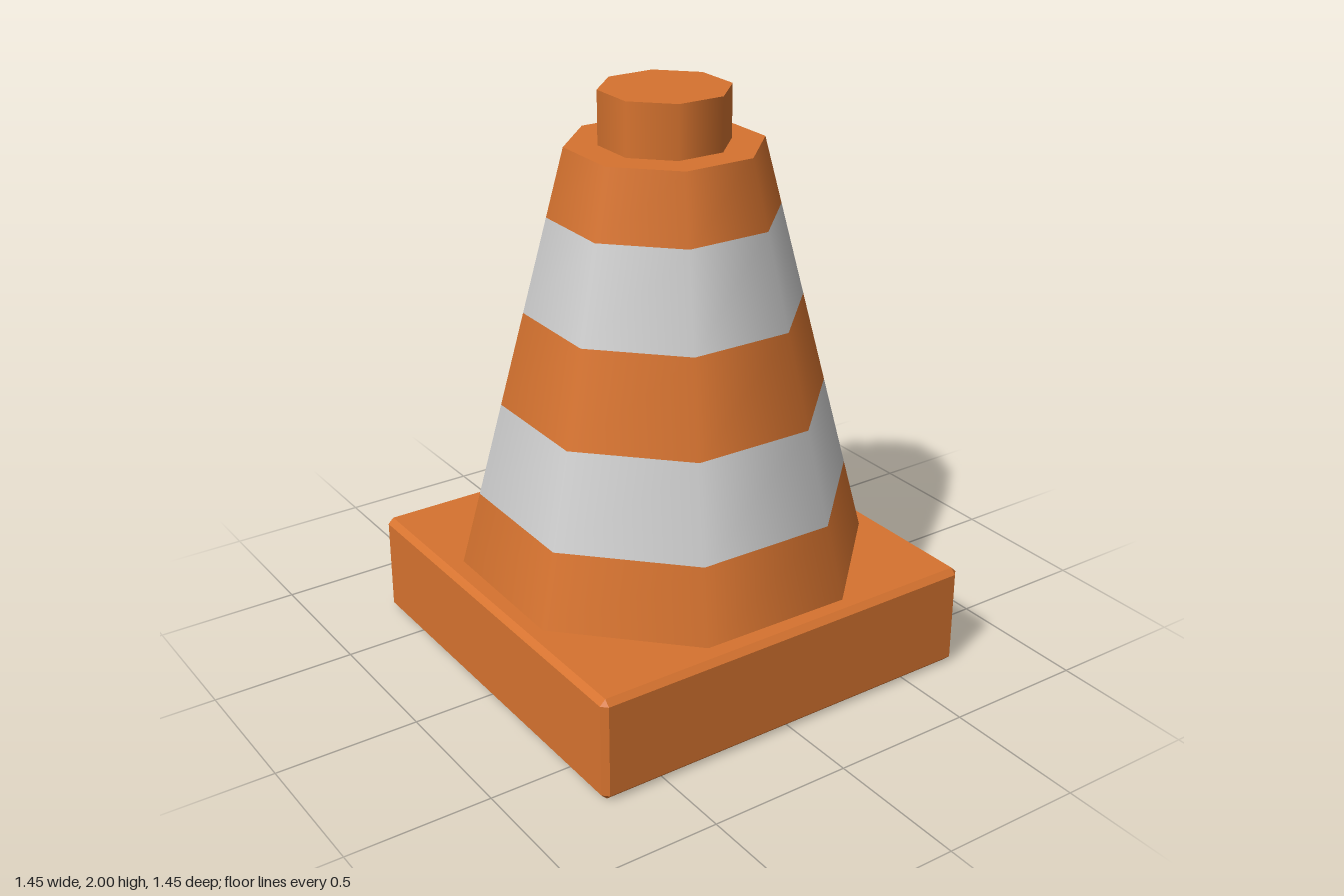
import * as THREE from 'three';

const SIDES = 8;
const TURN = THREE.MathUtils.degToRad(21.6);

// Square slab with chamfered edges and a recess underneath, lofted from square rings
function baseGeometry() {
  const flat = 0.705;
  // [half width, height], from the recess ceiling outwards and up to the top face
  const rings = [[0, 0.19], [0.58, 0.19], [0.58, 0], [flat, 0], [0.725, 0.02], [0.725, 0.345], [flat, 0.365], [0, 0.365]];
  const ringPoints = ([h, y]) => {
    const k = Math.min(h, flat);
    return [[h, -k], [h, k], [k, h], [-k, h], [-h, k], [-h, -k], [-k, -h], [k, -h]]
      .map(([x, z]) => new THREE.Vector3(x, y, z));
  };
  const positions = [];
  const addTriangle = (a, b, c) => {
    if (new THREE.Triangle(a, b, c).getArea() < 1e-8) return;
    for (const p of [a, b, c]) positions.push(p.x, p.y, p.z);
  };
  for (let r = 0; r < rings.length - 1; r++) {
    const low = ringPoints(rings[r]);
    const high = ringPoints(rings[r + 1]);
    for (let i = 0; i < 8; i++) {
      const j = (i + 1) % 8;
      addTriangle(low[i], high[i], high[j]);
      addTriangle(low[i], high[j], low[j]);
    }
  }
  const geometry = new THREE.BufferGeometry();
  geometry.setAttribute('position', new THREE.Float32BufferAttribute(positions, 3));
  geometry.computeVertexNormals();
  return geometry;
}

export function createModel() {
  const orange = new THREE.MeshStandardMaterial({ color: 0xd6732f });
  orange.name = 'orange';
  const white = new THREE.MeshStandardMaterial({ color: 0xcfcfcf });
  white.name = 'reflective white';

  const model = new THREE.Group();
  model.name = 'trafficCone';
  const add = (name, geometry, material) => {
    const mesh = new THREE.Mesh(geometry, material);
    mesh.name = name;
    model.add(mesh);
    return mesh;
  };

  add('base', baseGeometry(), orange);

  // Tapered eight-sided body, split into coloured bands
  const heights = [0.365, 0.62, 0.945, 1.267, 1.59, 1.82];
  const radiusAt = (y) => THREE.MathUtils.mapLinear(y, 0.365, 1.82, 0.708, 0.33);
  for (let i = 0; i < heights.length - 1; i++) {
    const [y0, y1] = [heights[i], heights[i + 1]];
    const striped = i % 2 === 1;
    const band = new THREE.CylinderGeometry(radiusAt(y1), radiusAt(y0), y1 - y0, SIDES, 1, true, TURN);
    add(striped ? 'whiteStripe' : 'orangeBand', band, striped ? white : orange).position.y = (y0 + y1) / 2;
  }

  // Flat shoulder on top of the body
  const shoulder = new THREE.CircleGeometry(radiusAt(1.82), SIDES, TURN - Math.PI / 2);
  shoulder.rotateX(-Math.PI / 2);
  add('shoulder', shoulder, orange).position.y = 1.82;

  // Short stub at the tip
  const stub = new THREE.CylinderGeometry(0.219, 0.219, 0.18, SIDES, 1, false, TURN);
  add('tipStub', stub, orange).position.y = 1.91;

  return model;
}
